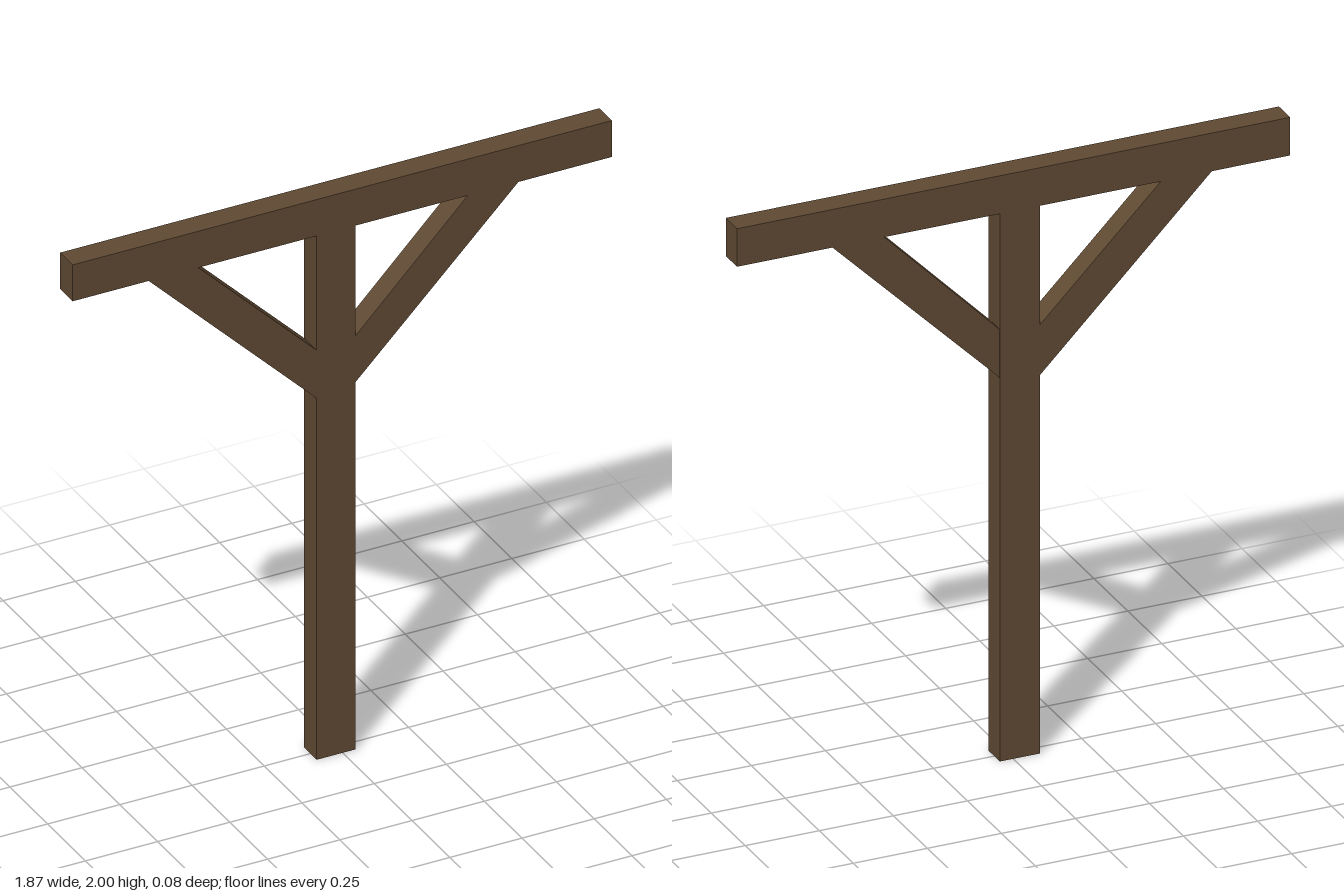
import * as THREE from 'three';

export function createModel() {
  const group = new THREE.Group();
  const wood = new THREE.MeshStandardMaterial({ color: 0x604a33 });
  wood.name = 'dark brown wood';
  const depth = 0.083;

  function add(name, geometry) {
    const mesh = new THREE.Mesh(geometry, wood);
    mesh.name = name;
    group.add(mesh);
  }

  // Rectangular timber given by its front extents
  function timber(name, x0, x1, y0, y1) {
    const geometry = new THREE.BoxGeometry(x1 - x0, y1 - y0, depth);
    geometry.translate((x0 + x1) / 2, (y0 + y1) / 2, 0);
    add(name, geometry);
  }

  // Diagonal timber with ends cut flush to the post and beam
  function brace(name, corners) {
    const shape = new THREE.Shape(corners.map(([x, y]) => new THREE.Vector2(x, y)));
    const geometry = new THREE.ExtrudeGeometry(shape, { depth: depth - 0.003, bevelEnabled: false });
    geometry.translate(0, 0, -(depth - 0.003) / 2);
    add(name, geometry);
  }

  timber('post', -0.09, 0.045, 0, 1.87);
  timber('crossbeam', -0.935, 0.932, 1.87, 2);
  brace('leftBrace', [[0.045, 1.31], [0.61, 1.87], [0.435, 1.87], [0.045, 1.475]]);
  brace('rightBrace', [[-0.09, 1.29], [-0.09, 1.462], [-0.5, 1.87], [-0.672, 1.87]]);

  return group;
}
